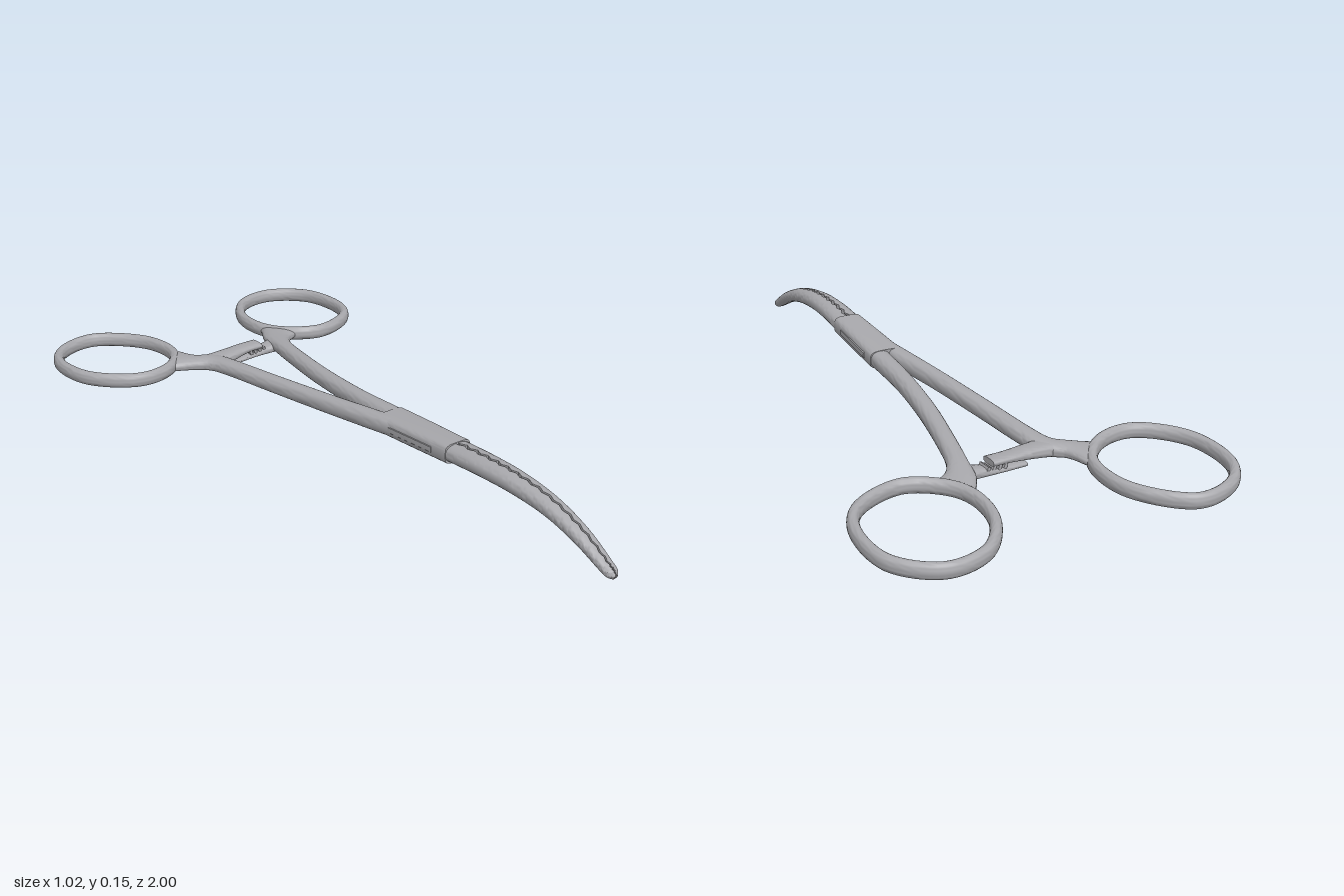
import * as THREE from 'three';
import { toCreasedNormals } from 'three/addons/utils/BufferGeometryUtils.js';

const steel = new THREE.MeshStandardMaterial({ color: 0xa8a8ac });
steel.name = 'brushed steel';

// Height of the instrument's centre line along its length: [z, y]
const spine = [[-1, 0.024], [-0.5, 0.056], [0, 0.09], [0.4, 0.116], [0.55, 0.127], [0.65, 0.128],
  [0.75, 0.118], [0.83, 0.097], [0.9, 0.068], [0.96, 0.035], [1, 0.013]];
function spineY(z) {
  let i = 0;
  while (i < spine.length - 2 && z > spine[i + 1][0]) i++;
  const [z0, y0] = spine[i], [z1, y1] = spine[i + 1];
  return y0 + (y1 - y0) * (z - z0) / (z1 - z0);
}

// Sweeps a rounded section along stations [x, z, width, height, lift].
// half = +1 or -1 keeps one side only, with a serrated inner face.
function sweep(name, stations, { closed = false, steps = 40, power = 2.4, half = 0, teeth = 22 } = {}) {
  const path = new THREE.CatmullRomCurve3(
    stations.map(([x, z, , , lift = 0]) => new THREE.Vector3(x, spineY(z) + lift, z)), closed, 'catmullrom');
  const size = new THREE.CatmullRomCurve3(
    stations.map(([, , w, h]) => new THREE.Vector3(w, h, 0)), closed, 'catmullrom');
  const n = 24, pos = [], idx = [], up = new THREE.Vector3(0, 1, 0);
  const rows = closed ? steps : steps + 1;
  for (let i = 0; i < rows; i++) {
    const t = i / steps, p = path.getPoint(t), s = size.getPoint(t), tan = path.getTangent(t);
    const side = up.clone().cross(tan).normalize(), nor = tan.clone().cross(side);
    const tooth = Math.abs(((t * teeth) % 1) - 0.5) * 0.4 - 0.1;
    for (let j = 0; j < n; j++) {
      const a = j / n * Math.PI * 2, c = Math.cos(a), d = Math.sin(a);
      let u = Math.sign(c) * Math.abs(c) ** (2 / power);
      const v = Math.sign(d) * Math.abs(d) ** (2 / power);
      if (half > 0) u = Math.max(u, tooth + 0.1);
      if (half < 0) u = Math.min(u, tooth - 0.1);
      const q = p.clone().addScaledVector(side, u * s.x / 2).addScaledVector(nor, v * s.y / 2);
      pos.push(q.x, Math.max(q.y, 0), q.z);
    }
  }
  for (let i = 0; i < steps; i++) {
    const r = i * n, k = ((i + 1) % rows) * n;
    for (let j = 0; j < n; j++) {
      const m = (j + 1) % n;
      idx.push(r + j, r + m, k + m, r + j, k + m, k + j);
    }
  }
  if (!closed) {
    const last = steps * n;
    for (let j = 1; j < n - 1; j++) idx.push(0, j + 1, j, last, last + j, last + j + 1);
  }
  const geo = new THREE.BufferGeometry();
  geo.setAttribute('position', new THREE.Float32BufferAttribute(pos, 3));
  geo.setIndex(idx);
  const mesh = new THREE.Mesh(toCreasedNormals(geo, 0.7), steel);
  mesh.name = name;
  return mesh;
}

// Finger ring through a loop of centre-line points [x, z]
const ring = (name, points) =>
  sweep(name, points.map(([x, z]) => [x, z, 0.031, 0.043]), { closed: true, steps: 72, power: 2.2 });

export function createModel() {
  const model = new THREE.Group();
  model.name = 'curved locking forceps';

  // Finger rings
  model.add(ring('rightFingerRing', [[-0.34, -0.795], [-0.455, -0.735], [-0.494, -0.62], [-0.44, -0.475],
    [-0.31, -0.402], [-0.2, -0.45], [-0.15, -0.57], [-0.2, -0.71]]));
  model.add(ring('leftFingerRing', [[0.32, -0.984], [0.44, -0.925], [0.49, -0.78], [0.462, -0.665],
    [0.35, -0.583], [0.235, -0.612], [0.175, -0.69], [0.161, -0.81], [0.21, -0.93]]));

  // Necks and shanks running to the lock
  model.add(sweep('rightShank', [[-0.17, -0.51, 0.13, 0.036], [-0.115, -0.475, 0.07, 0.038],
    [-0.055, -0.445, 0.065, 0.042], [-0.015, -0.37, 0.056, 0.046], [0.055, -0.2, 0.053, 0.049],
    [0.14, 0, 0.052, 0.052], [0.222, 0.18, 0.056, 0.054], [0.26, 0.27, 0.05, 0.05]], { steps: 56 }));
  model.add(sweep('leftShank', [[0.225, -0.625, 0.12, 0.034], [0.197, -0.57, 0.085, 0.038],
    [0.188, -0.5, 0.058, 0.043], [0.19, -0.4, 0.052, 0.046], [0.205, -0.2, 0.053, 0.049],
    [0.235, 0, 0.054, 0.052], [0.277, 0.18, 0.06, 0.053], [0.295, 0.27, 0.05, 0.05]], { steps: 56 }));

  // Box lock with the tongue that passes through it
  model.add(sweep('boxLock', [[0.255, 0.175, 0.104, 0.055], [0.292, 0.31, 0.096, 0.057],
    [0.329, 0.448, 0.088, 0.056]], { power: 4, steps: 16 }));
  model.add(sweep('lockTongue', [[0.268, 0.22, 0.106, 0.02], [0.292, 0.31, 0.1, 0.02],
    [0.315, 0.395, 0.095, 0.02]], { power: 8, steps: 8 }));

  // Two curved jaws with meshing teeth
  const jaw = [[0.326, 0.435, 0.088, 0.051], [0.358, 0.56, 0.082, 0.051], [0.39, 0.67, 0.074, 0.05],
    [0.424, 0.78, 0.064, 0.045], [0.454, 0.88, 0.055, 0.037], [0.478, 0.965, 0.043, 0.028],
    [0.484, 0.985, 0.036, 0.024], [0.487, 0.996, 0.015, 0.014]];
  model.add(sweep('leftJaw', jaw, { half: 1, steps: 132 }));
  model.add(sweep('rightJaw', jaw, { half: -1, steps: 132 }));

  // Overlapping ratchet arms
  model.add(sweep('upperRatchetArm', [[-0.06, -0.452, 0.075, 0.038], [0, -0.477, 0.06, 0.03, 0.006],
    [0.06, -0.503, 0.052, 0.021, 0.011], [0.112, -0.52, 0.052, 0.018, 0.012]], { power: 3, steps: 20 }));
  model.add(sweep('lowerRatchetArm', [[0.195, -0.54, 0.075, 0.036, -0.002], [0.145, -0.528, 0.052, 0.026, -0.009],
    [0.085, -0.51, 0.046, 0.017, -0.014], [0.012, -0.482, 0.042, 0.013, -0.019]], { power: 3, steps: 20 }));

  // Ratchet teeth between the arms
  for (let i = 0; i < 4; i++) {
    const tooth = new THREE.Mesh(new THREE.BoxGeometry(0.009, 0.014, 0.042), steel);
    tooth.name = 'ratchetTooth';
    tooth.position.set(0.075 + i * 0.016, 0.053, -0.508 - i * 0.005);
    tooth.rotation.set(0, 0.33, 0.4);
    model.add(tooth);
  }
  return model;
}
